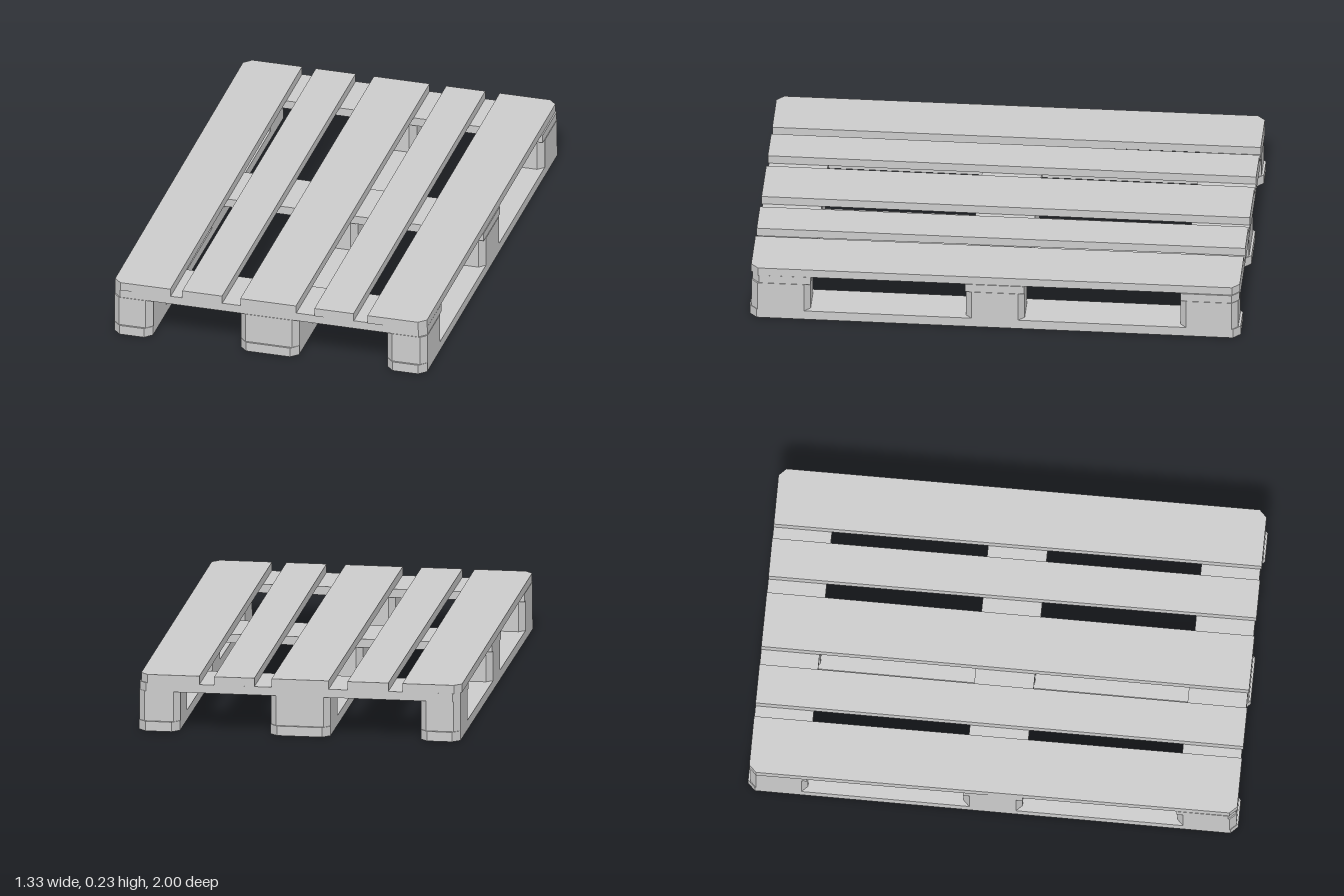
import * as THREE from 'three';

const material = new THREE.MeshStandardMaterial({ color: 0xcccccc, flatShading: true });

// Horizontal slab with optional cut corners.
// cuts: [left-front, right-front, right-back, left-back], seen from above
function slab(name, [x0, x1], [z0, z1], [y0, y1], cuts = [0, 0, 0, 0], yaw = 0) {
  const w = (x1 - x0) / 2, d = (z1 - z0) / 2;
  const corners = [[-1, -1], [1, -1], [1, 1], [-1, 1]];
  const points = [];
  corners.forEach(([sx, sy], i) => {
    const c = cuts[i], x = sx * w, y = sy * d;
    if (!c) return points.push(new THREE.Vector2(x, y));
    const alongX = new THREE.Vector2(x - sx * c, y);
    const alongZ = new THREE.Vector2(x, y - sy * c);
    points.push(...(i % 2 ? [alongX, alongZ] : [alongZ, alongX]));
  });
  const geometry = new THREE.ExtrudeGeometry(new THREE.Shape(points), { depth: y1 - y0, bevelEnabled: false });
  geometry.rotateX(-Math.PI / 2);
  const mesh = new THREE.Mesh(geometry, material);
  mesh.name = name;
  mesh.position.set((x0 + x1) / 2, y0, (z0 + z1) / 2);
  mesh.rotation.y = yaw;
  return mesh;
}

export function createModel() {
  const pallet = new THREE.Group();
  pallet.name = 'pallet';
  const c = 0.03;
  const all = [0.025, 0.025, 0.025, 0.025];

  // Deck boards, laid very slightly askew; only the outer corners are cut
  const deck = [
    [[-0.662, -0.421], [c, 0, 0, c], 0.004],
    [[-0.367, -0.199], undefined, 0],
    [[-0.122, 0.113], undefined, 0],
    [[0.187, 0.352], undefined, 0.004],
    [[0.412, 0.655], [0, c, c, 0], 0.003],
  ];
  for (const [x, cuts, yaw] of deck) pallet.add(slab('deckBoard', x, [-0.995, 0.995], [0.2, 0.235], cuts, yaw));

  // Cross boards under the deck
  const crossRows = [
    [[-0.995, -0.757], [0, 0, c, c]],
    [[-0.12, 0.122], undefined],
    [[0.75, 0.99], [c, c, 0, 0]],
  ];
  for (const [z, cuts] of crossRows) pallet.add(slab('crossBoard', [-0.66, 0.658], z, [0.165, 0.2], cuts));

  // Three runners, each carrying three spacer blocks
  const columns = [[-0.66, -0.497], [-0.126, 0.12], [0.492, 0.66]];
  const rows = [[-0.99, -0.755], [-0.12, 0.12], [0.752, 0.992]];
  for (const x of columns) {
    pallet.add(slab('runner', x, [-1, 1], [0, 0.04], [c, c, c, c]));
    for (const z of rows) pallet.add(slab('spacerBlock', x, z, [0.04, 0.165], all));
  }
  return pallet;
}
